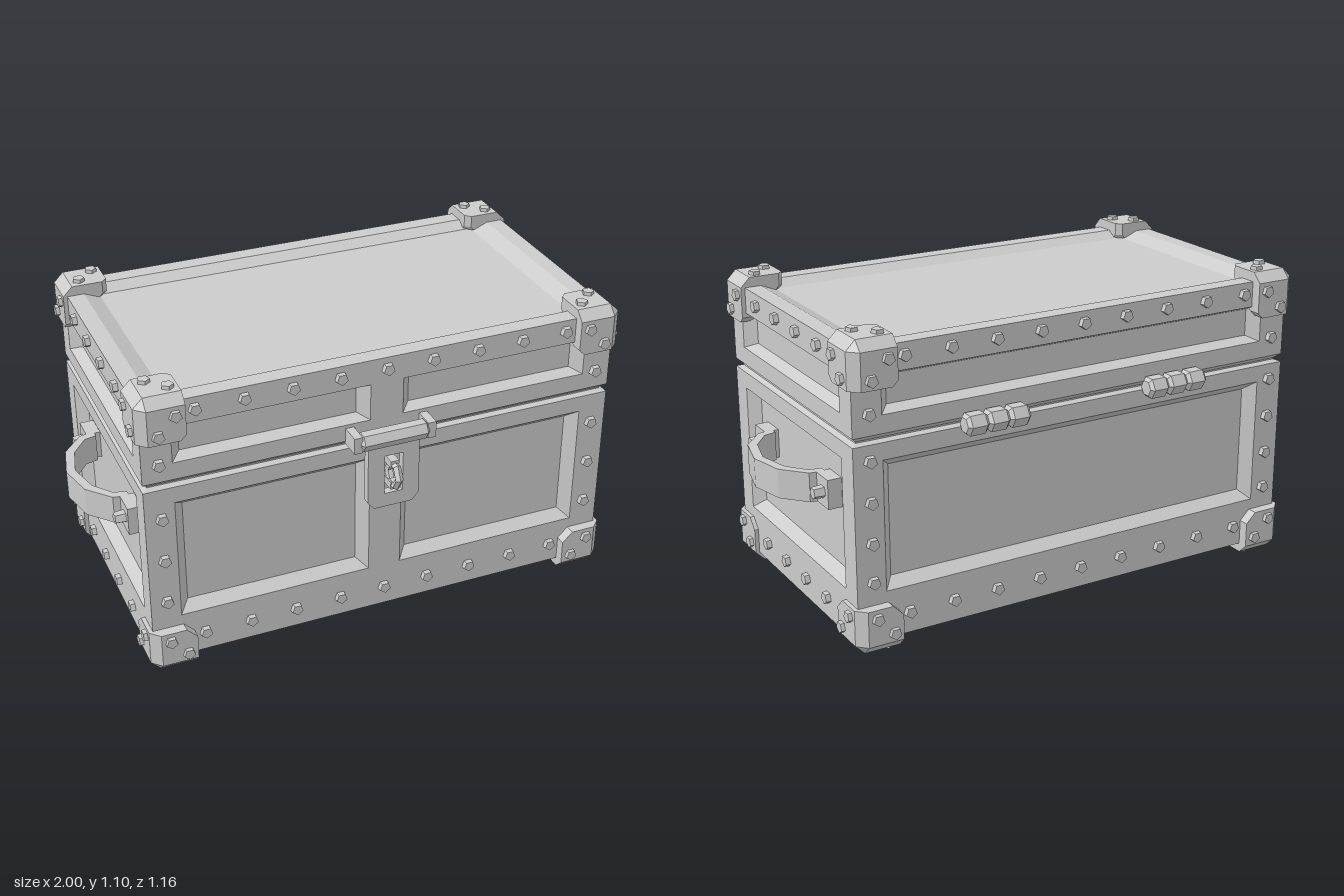
import * as THREE from 'three';
import { ConvexGeometry } from 'three/addons/geometries/ConvexGeometry.js';

const mat = new THREE.MeshStandardMaterial({ color: 0xcccccc, flatShading: true });
const thin = new THREE.MeshStandardMaterial({ color: 0xcccccc, flatShading: true, side: THREE.DoubleSide });

// half sizes of the box and of the corner caps
const HX = 0.86, HZ = 0.4825, Y0 = 0.045, Y1 = 1.055;
const CX = 0.875, CZ = 0.52, CY0 = 0.012, CY1 = 1.09;

function add(parent, name, geo, x = 0, y = 0, z = 0, m = mat) {
  const mesh = new THREE.Mesh(geo, m);
  mesh.name = name;
  mesh.position.set(x, y, z);
  parent.add(mesh);
  return mesh;
}

function group(parent, name) {
  const g = new THREE.Group();
  g.name = name;
  parent.add(g);
  return g;
}

// quads given by four corners each, counter-clockwise from outside
function quads(list) {
  const pos = [];
  for (const [a, b, c, d] of list) pos.push(...a, ...b, ...c, ...a, ...c, ...d);
  const g = new THREE.BufferGeometry();
  g.setAttribute('position', new THREE.Float32BufferAttribute(pos, 3));
  g.computeVertexNormals();
  return g;
}

const polygon = pts => new THREE.Shape(pts.map(p => new THREE.Vector2(...p)));
const rect = (x0, y0, x1, y1) => [[x0, y0], [x1, y0], [x1, y1], [x0, y1]];

// flat face with sunken, bevelled panels; panels are [x0, y0, x1, y1]
function panelFace(parent, name, outline, panels, depth, bx, by) {
  const shape = polygon(outline);
  const sunk = [];
  for (const [x0, y0, x1, y1] of panels) {
    const o = rect(x0, y0, x1, y1);
    const i = rect(x0 + bx, y0 + by, x1 - bx, y1 - by);
    shape.holes.push(new THREE.Path(o.map(p => new THREE.Vector2(...p))));
    const O = o.map(p => [...p, 0]), I = i.map(p => [...p, -depth]);
    sunk.push(I);
    for (let k = 0; k < 4; k++) sunk.push([O[k], O[(k + 1) % 4], I[(k + 1) % 4], I[k]]);
  }
  const g = group(parent, name);
  add(g, name + 'Frame', new THREE.ShapeGeometry(shape));
  if (sunk.length) add(g, name + 'Panel', quads(sunk));
  return g;
}

// five-sided rivet along +z
const rivetGeo = new THREE.CylinderGeometry(0.021, 0.024, 0.04, 5).rotateX(Math.PI / 2);
const rivet = (parent, x, y, z) => add(parent, 'rivet', rivetGeo, x, y, z - 0.002);

// barrel along x with hexagonal section and bevelled ends
function hexBarrel(parent, name, r, len, x, y, z) {
  const e = r * 0.3;
  const pts = [[0, -len / 2], [r * 0.7, -len / 2], [r, -len / 2 + e], [r, len / 2 - e], [r * 0.7, len / 2], [0, len / 2]];
  const geo = new THREE.LatheGeometry(pts.map(p => new THREE.Vector2(...p)), 6).rotateZ(Math.PI / 2);
  return add(parent, name, geo, x, y, z);
}

// bent carrying handle, standing out along +z
function addHandle(wall) {
  const g = group(wall, 'handle');
  const outer = [[-0.225, -0.02], [-0.215, 0.035], [-0.13, 0.11], [0, 0.14], [0.13, 0.11], [0.215, 0.035], [0.225, -0.02]];
  const inner = [[0.195, -0.02], [0.185, 0.025], [0.115, 0.08], [0, 0.108], [-0.115, 0.08], [-0.185, 0.025], [-0.195, -0.02]];
  const geo = new THREE.ExtrudeGeometry(polygon([...outer, ...inner]), { depth: 0.104, bevelEnabled: false });
  add(g, 'grip', geo.rotateX(Math.PI / 2), 0, 0.567, 0);
  for (const s of [-1, 1]) {
    add(g, 'handlePad', new THREE.BoxGeometry(0.09, 0.104, 0.055), s * 0.26, 0.515, -0.017);
    rivet(g, s * 0.265, 0.515, 0.03);
  }
}

// hasp with pivot bar, slotted plate and staple
function addLatch(wall) {
  const g = group(wall, 'latch');
  const plate = polygon([[-0.095, 0.8], [-0.095, 0.54], [-0.07, 0.512], [0.07, 0.512], [0.095, 0.54], [0.095, 0.8]]);
  plate.holes.push(new THREE.Path(rect(-0.034, 0.565, 0.034, 0.715).map(p => new THREE.Vector2(...p))));
  add(g, 'haspPlate', new THREE.ExtrudeGeometry(plate, { depth: 0.03, bevelEnabled: false }), 0, 0, 0.035);
  hexBarrel(g, 'pivotBar', 0.034, 0.25, 0, 0.785, 0.055);
  for (const s of [-1, 1]) {
    add(g, 'pivotBracket', new THREE.BoxGeometry(0.03, 0.06, 0.08), s * 0.135, 0.785, 0.035);
    add(g, 'stapleLeg', new THREE.BoxGeometry(0.03, 0.028, 0.09), 0, 0.638 + s * 0.042, 0.03);
  }
  add(g, 'staple', new THREE.TorusGeometry(0.042, 0.015, 5, 6).rotateY(Math.PI / 2), 0, 0.638, 0.067);
}

// one upright side of the chest, drawn facing +z and turned into place
function addWall(root, side, angle) {
  const along = side === 'front' || side === 'back';
  const hw = along ? HX : HZ, dist = along ? HZ : HX;
  const capW = along ? CX : CZ, capD = (along ? CZ : CX) - dist;
  const wall = group(root, side + 'Wall');
  wall.rotation.y = angle;
  wall.position.set(Math.sin(angle) * dist, 0, Math.cos(angle) * dist);

  const px = along ? 0.755 : 0.395;
  const spans = side === 'front' ? [[-px, -0.06], [0.06, px]] : [[-px, px]];
  const low = rect(-hw, Y0, hw, 0.735);
  if (side === 'front') {
    // chipped lower edge
    const a = [-0.29, Y0], p = [-0.17, Y0 + 0.035], b = [-0.12, Y0], q = [-0.18, Y0, -0.05];
    low.splice(1, 0, a, p, b);
    add(wall, 'chip', quads([[[...a, 0], q, [...b, 0], [...p, 0]]]), 0, 0, 0, thin);
  }
  panelFace(wall, 'body', low, spans.map(([a, b]) => [a, 0.215, b, 0.675]), 0.04, 0.036, 0.033);
  panelFace(wall, 'lid', rect(-hw, 0.765, hw, Y1), spans.map(([a, b]) => [a, 0.828, b, 0.963]), 0.04, 0.036, 0.018);

  // rivet rows
  const n = along ? 9 : 4;
  for (let i = 0; i < n; i++) {
    const x = (i - (n - 1) / 2) * 0.168;
    rivet(wall, x, 1.014, 0);
    rivet(wall, x, 0.122, 0);
  }
  const heights = side === 'front' ? [0.833, 0.623, 0.457, 0.287] : [0.838, 0.68, 0.538, 0.396, 0.258];
  for (const s of [-1, 1]) {
    if (along) for (const y of heights) rivet(wall, s * 0.802, y, 0);
    for (const [a, b] of [[0.128, 0.066], [0.068, 0.13]]) {
      rivet(wall, s * (capW - a), CY1 - b, capD - 0.004);
      rivet(wall, s * (capW - a), CY0 + b, capD - 0.004);
    }
  }
  return wall;
}

// chamfered cap over one corner of the chest
function addCorner(root, sx, top, sz) {
  const L = 0.163, c = 0.034, d = 0.045, k = top ? 0.02 : 0.038;
  const rim = [[L, c], [L, L - k], [L - k, L], [c, L]];
  const pts = [];
  for (let axis = 0; axis < 3; axis++) {
    for (const [list, depth] of [[[[c, c], ...rim], 0], [rim, d]]) {
      for (const [a, b] of list) {
        const v = [0, 0, 0];
        v[axis] = depth;
        v[(axis + 1) % 3] = a;
        v[(axis + 2) % 3] = b;
        pts.push(new THREE.Vector3(sx * (CX - v[0]), top ? CY1 - v[1] : CY0 + v[1], sz * (CZ - v[2])));
      }
    }
  }
  const g = group(root, top ? 'lidCorner' : 'baseCorner');
  add(g, 'cap', new ConvexGeometry(pts));
  for (const [a, b] of [[0.128, 0.068], [0.068, 0.128]]) {
    const r = rivet(g, sx * (CX - a), top ? CY1 - 0.007 : CY0 + 0.008, sz * (CZ - b));
    r.rotation.x = top ? -Math.PI / 2 : Math.PI / 2;
  }
}

export function createModel() {
  const root = new THREE.Group();
  root.name = 'chest';
  root.position.z = -0.0175;

  const front = addWall(root, 'front', 0);
  addWall(root, 'back', Math.PI);
  addHandle(addWall(root, 'left', Math.PI / 2));
  addHandle(addWall(root, 'right', -Math.PI / 2));
  addLatch(front);

  // sunken lid top and flat underside
  const lidTop = panelFace(root, 'lidTop', rect(-HX, -HZ, HX, HZ), [[-0.8, -0.42, 0.8, 0.42]], 0.025, 0.06, 0.04);
  lidTop.rotation.x = -Math.PI / 2;
  lidTop.position.y = Y1;
  const base = panelFace(root, 'underside', rect(-HX, -HZ, HX, HZ), [], 0, 0, 0);
  base.rotation.x = Math.PI / 2;
  base.position.y = Y0;

  // groove between lid and body
  const groove = [[0, 0.735], [0.02, 0.742], [0.02, 0.747], [0, 0.765]].map(([i, y]) =>
    rect(-HX + i, -HZ + i, HX - i, HZ - i).map(([x, z]) => [x, y, z]));
  const strips = [];
  for (let r = 0; r < 3; r++) {
    for (let k = 0; k < 4; k++) {
      const n = (k + 1) % 4;
      strips.push([groove[r][n], groove[r][k], groove[r + 1][k], groove[r + 1][n]]);
    }
  }
  add(root, 'seam', quads(strips), 0, 0, 0, thin);

  for (const sx of [-1, 1]) {
    for (const sz of [-1, 1]) for (const top of [true, false]) addCorner(root, sx, top, sz);
    // rear hinge of three knuckles
    const hinge = group(root, 'hinge');
    for (let i = -1; i <= 1; i++) hexBarrel(hinge, 'knuckle', 0.04, 0.079, sx * 0.358 + i * 0.079, 0.75, -0.513);
  }
  return root;
}
